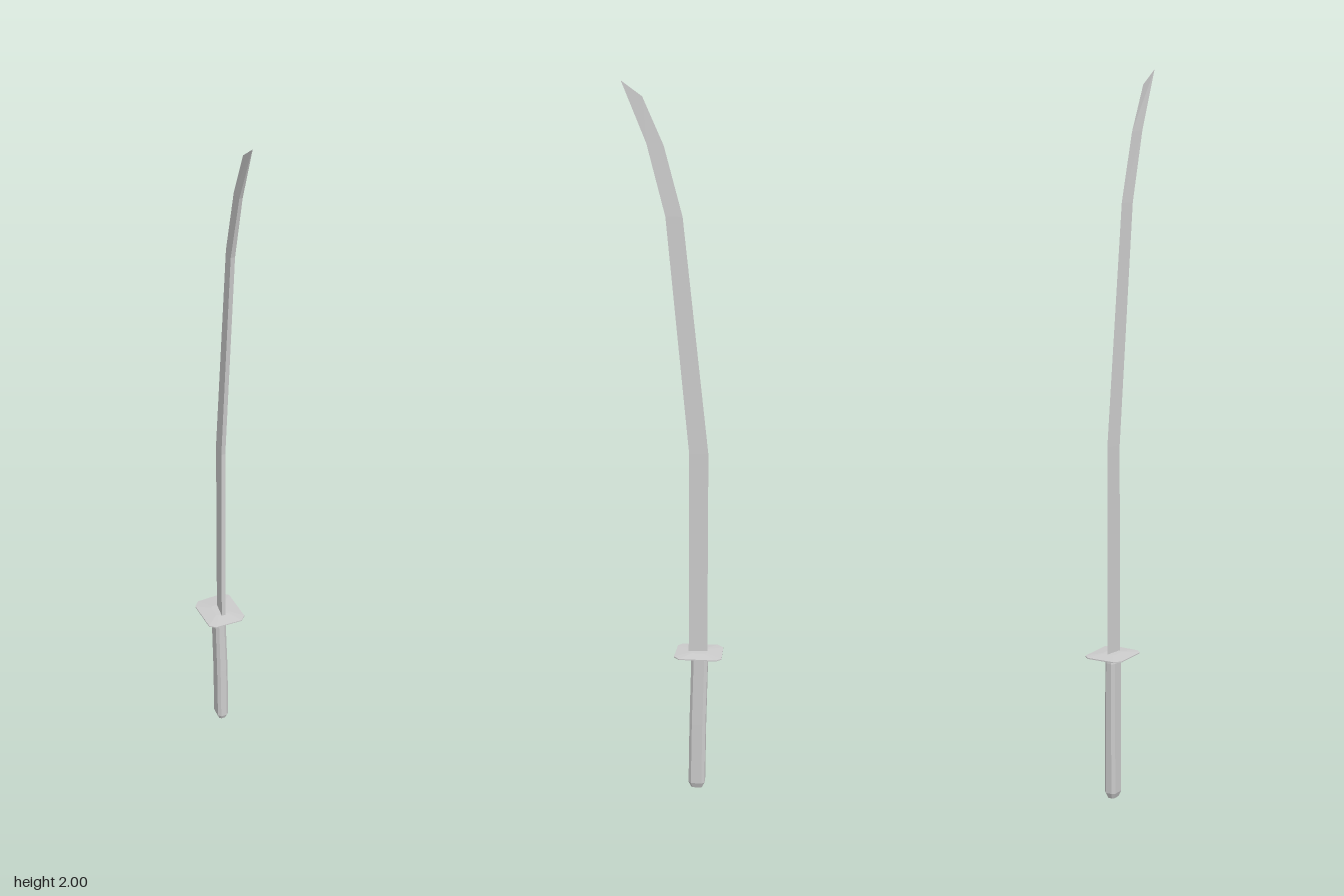
import * as THREE from 'three';

const material = new THREE.MeshStandardMaterial({ color: 0xcccccc, flatShading: true });

// Skins a stack of rings (bottom to top, each running from +x towards +z) and caps both ends.
function loft(name, rings) {
  const pos = [];
  const tri = (...corners) => corners.forEach((p) => pos.push(...p));
  const n = rings[0].length;
  for (let r = 0; r < rings.length - 1; r++) {
    for (let i = 0; i < n; i++) {
      const j = (i + 1) % n;
      const lo = rings[r], hi = rings[r + 1];
      tri(lo[i], hi[i], lo[j]);
      tri(lo[j], hi[i], hi[j]);
    }
  }
  const bottom = rings[0], top = rings[rings.length - 1];
  for (let i = 1; i < n - 1; i++) {
    tri(bottom[0], bottom[i], bottom[i + 1]);
    tri(top[0], top[i + 1], top[i]);
  }
  const geometry = new THREE.BufferGeometry();
  geometry.setAttribute('position', new THREE.Float32BufferAttribute(pos, 3));
  geometry.computeVertexNormals();
  const mesh = new THREE.Mesh(geometry, material);
  mesh.name = name;
  return mesh;
}

// Rectangle with cut corners, as an eight-sided ring.
function octagon(y, cx, cz, hx, hz, cut) {
  return [
    [hx, -hz + cut], [hx, hz - cut], [hx - cut, hz], [-hx + cut, hz],
    [-hx, hz - cut], [-hx, -hz + cut], [-hx + cut, -hz], [hx - cut, -hz],
  ].map(([x, z]) => [cx + x, y, cz + z]);
}

export function createModel() {
  const model = new THREE.Group();
  model.name = 'curvedSword';

  // Blade: wedge section, sharp on the convex side, flat spine on the concave side
  const sections = [ // edge y, edge z, spine y, spine z, half thickness
    [0.41, -0.097, 0.41, -0.045, 0.006],
    [1.0, -0.097, 1.0, -0.045, 0.006],
    [1.65, -0.025, 1.65, 0.02, 0.006],
    [1.835, 0.025, 1.84, 0.07, 0.0045],
    [1.96, 0.081, 2.0, 0.137, 0.0005],
  ];
  model.add(loft('blade', sections.map(([ey, ez, sy, sz, w]) => [
    [0, ey, ez], [w, sy, sz], [-w, sy, sz],
  ])));

  // Guard: thin, slightly skewed plate, thicker at the middle
  const outline = [
    [0.053, -0.128], [0.057, -0.024], [0.042, -0.008], [-0.04, -0.008],
    [-0.056, -0.021], [-0.06, -0.119], [-0.044, -0.137], [0.037, -0.142],
  ];
  const guardRing = (y, s) => outline.map(([x, z]) => [x * s, y, -0.073 + (z + 0.073) * s]);
  model.add(loft('guard', [
    guardRing(0.41, 0.35), guardRing(0.414, 1), guardRing(0.417, 1), guardRing(0.421, 0.35),
  ]));

  // Grip: eight-sided, leaning slightly, with a chamfered pommel
  model.add(loft('grip', [
    octagon(0, 0.001, -0.069, 0.011, 0.016, 0.005),
    octagon(0.016, 0.001, -0.069, 0.017, 0.023, 0.008),
    octagon(0.2, 0, -0.071, 0.017, 0.023, 0.008),
    octagon(0.395, -0.004, -0.075, 0.016, 0.023, 0.008),
    octagon(0.413, -0.004, -0.075, 0.012, 0.021, 0.007),
  ]));

  return model;
}
